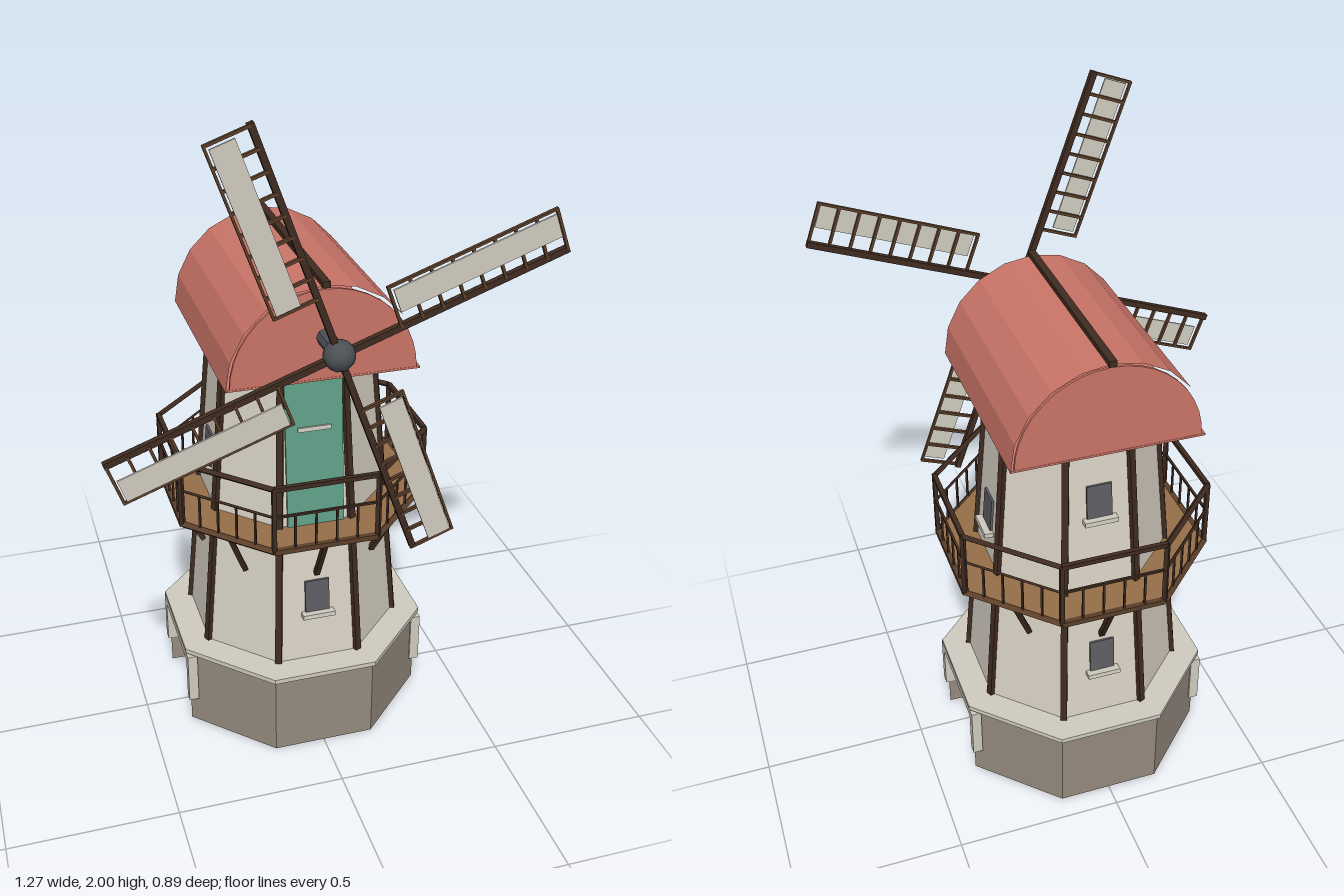
import * as THREE from 'three';

const mat = (name, color) => Object.assign(new THREE.MeshStandardMaterial({ color }), { name });

export function createModel() {
  const plaster = mat('plaster', 0xd9d2c5), stone = mat('stone', 0x958a7e), trim = mat('pale trim', 0xd0ccc0);
  const red = mat('roof red', 0xcb7568), green = mat('door green', 0x5f9f88), dark = mat('dark wood', 0x3f2b20);
  const floorWood = mat('floor wood', 0x966f48), frameWood = mat('frame wood', 0x5c3f2a);
  const slate = mat('window slate', 0x5c5c62), iron = mat('iron', 0x4d5156);

  const model = new THREE.Group();
  model.name = 'windmill';
  const body = new THREE.Group();
  body.name = 'tower';
  body.position.z = -0.057;
  model.add(body);

  const T = Math.PI / 8, COS = Math.cos(T), TAN = Math.tan(T);
  const add = (parent, name, geo, material, x = 0, y = 0, z = 0) => {
    const m = new THREE.Mesh(geo, material);
    m.name = name;
    m.position.set(x, y, z);
    parent.add(m);
    return m;
  };
  const box = (parent, name, material, w, h, d, x, y, z) =>
    add(parent, name, new THREE.BoxGeometry(w, h, d), material, x, y, z);
  // faceted eight-sided block given by its apothems
  const octagon = (name, material, top, bottom, y0, y1) => {
    const g = new THREE.CylinderGeometry(top / COS, bottom / COS, y1 - y0, 8).rotateY(T).toNonIndexed();
    g.computeVertexNormals();
    return add(body, name, g, material, 0, (y0 + y1) / 2, 0);
  };
  // square bar between two points
  const bar = (parent, name, material, p, q, w) => {
    const d = q.clone().sub(p);
    const m = box(parent, name, material, w, d.length(), w, 0, 0, 0);
    m.position.copy(p).add(q).multiplyScalar(0.5);
    m.quaternion.setFromUnitVectors(new THREE.Vector3(0, 1, 0), d.normalize());
    return m;
  };
  // point on octagon: corner k, or side centre k
  const corner = (a, k, y) => {
    const t = T + k * Math.PI / 4, r = a / COS;
    return new THREE.Vector3(Math.sin(t) * r, y, Math.cos(t) * r);
  };
  const side = (a, k, y) => new THREE.Vector3(Math.sin(k * Math.PI / 4) * a, y, Math.cos(k * Math.PI / 4) * a);

  // stone base in two halves with a passage running across
  const A = 0.373, B = A * TAN;
  for (const s of [1, -1]) {
    const half = new THREE.Shape([[A, B], [B, A], [-B, A], [-A, B]].map(([x, z]) => new THREE.Vector2(x, z)));
    const g = new THREE.ExtrudeGeometry(half, { depth: 0.23, bevelEnabled: false }).rotateX(-Math.PI / 2);
    if (s > 0) g.rotateY(Math.PI);
    add(body, 'baseHalf', g, stone);
    box(body, 'passageLining', slate, 0.7, 0.14, 0.006, 0, 0.16, s * (B - 0.003));
    // passage frame
    for (const e of [1, -1])
      box(body, 'passagePost', trim, 0.03, 0.165, 0.028, s * 0.368, 0.1725, e * (B + 0.012));
    box(body, 'passageLintel', trim, 0.03, 0.027, 0.36, s * 0.368, 0.2415, 0);
  }
  octagon('baseTop', stone, A, A, 0.23, 0.26);
  box(body, 'passageCeiling', slate, 0.7, 0.006, 2 * B - 0.002, 0, 0.227, 0);
  octagon('baseCornice', trim, 0.385, 0.385, 0.26, 0.275);

  // tapering tower and its corner posts
  const Y0 = 0.275, Y1 = 1.21, A0 = 0.303, A1 = 0.225;
  const apothem = y => A0 + (A1 - A0) * (y - Y0) / (Y1 - Y0);
  const tilt = Math.atan((A0 - A1) / (Y1 - Y0));
  octagon('towerWalls', plaster, A1, A0, Y0, Y1);
  octagon('roofCollar', red, 0.24, 0.24, 1.205, 1.238);
  for (let k = 0; k < 8; k++)
    bar(body, 'cornerPost', dark, corner(A0, k, Y0), corner(A1, k, Y1), 0.02).rotateY(T + k * Math.PI / 4);

  // a group lying on tower side k at height y, +z pointing outwards
  const onWall = (name, k, y) => {
    const turn = new THREE.Group(), lean = new THREE.Group();
    turn.name = name;
    turn.rotation.y = k * Math.PI / 4;
    lean.position.set(0, y, apothem(y));
    lean.rotation.x = -tilt;
    turn.add(lean);
    body.add(turn);
    return lean;
  };
  for (const [k, y] of [[0, 0.49], [2, 0.89], [6, 0.89], [4, 0.49], [4, 1.03]]) {
    const w = onWall('window', k, y);
    box(w, 'windowPane', slate, 0.075, 0.105, 0.008, 0, 0, 0.003);
    box(w, 'windowSill', trim, 0.1, 0.014, 0.03, 0, -0.06, 0.012);
  }
  const door = onWall('balconyDoor', 0, 0.96);
  box(door, 'doorPanel', green, 0.172, 0.46, 0.009, 0, 0, 0.004);
  box(door, 'doorBar', trim, 0.1, 0.013, 0.012, 0, 0.08, 0.008);
  box(door, 'doorLintel', trim, 0.18, 0.02, 0.02, 0, 0.237, 0.006);

  // balcony with braces and railing
  octagon('balconyFloor', floorWood, 0.378, 0.378, 0.72, 0.735);
  const R = 0.376;
  for (let k = 0; k < 8; k++) {
    const turn = k * Math.PI / 4 + Math.PI / 4;
    const rail = (name, material, y, w) =>
      bar(body, name, material, corner(R, k, y), corner(R, k + 1, y), w);
    rail('balconyEdge', frameWood, 0.728, 0.016);
    rail('topRail', dark, 0.934, 0.014);
    rail('midRail', dark, 0.843, 0.007);
    bar(body, 'railPost', dark, corner(R, k, 0.73), corner(R, k, 0.938), 0.013).rotation.y = turn;
    for (let i = 1; i < 5; i++) {
      const p = corner(R, k, 0.73).lerp(corner(R, k + 1, 0.73), i / 5);
      bar(body, 'baluster', dark, p, p.clone().setY(0.843), 0.006).rotation.y = turn;
    }
    bar(body, 'balconyBrace', dark, side(0.282, k, 0.565), side(0.365, k, 0.722), 0.016);
  }

  // barrel roof along z: shell, gables, underside and ridge
  const roof = new THREE.Group();
  roof.name = 'roof';
  roof.position.set(0, 1.236, -0.045);
  model.add(roof);
  const shell = new THREE.CylinderGeometry(0.278, 0.278, 0.66, 10, 1, true, Math.PI / 2, Math.PI)
    .rotateX(Math.PI / 2).toNonIndexed();
  shell.computeVertexNormals();
  add(roof, 'roofShell', shell, red);
  const arc = Array.from({ length: 21 }, (_, i) =>
    new THREE.Vector2(Math.cos(i * Math.PI / 20), Math.sin(i * Math.PI / 20)).multiplyScalar(0.267));
  const gable = new THREE.ExtrudeGeometry(new THREE.Shape(arc), { depth: 0.008, bevelEnabled: false });
  add(roof, 'frontGable', gable, red, 0, 0, 0.32);
  add(roof, 'backGable', gable, red, 0, 0, -0.328);
  box(roof, 'roofUnderside', red, 0.554, 0.006, 0.658, 0, 0.003, 0);
  box(roof, 'ridge', dark, 0.022, 0.018, 0.675, 0, 0.282, 0);

  // sail wheel
  const wheel = new THREE.Group();
  wheel.name = 'sailWheel';
  wheel.position.set(0, 1.365, 0.405);
  model.add(wheel);
  const axle = new THREE.CylinderGeometry(0.025, 0.025, 0.14, 8).rotateX(Math.PI / 2).toNonIndexed();
  axle.computeVertexNormals();
  add(wheel, 'axle', axle, iron, 0, 0, -0.065);
  add(wheel, 'hub', new THREE.IcosahedronGeometry(0.045, 1), iron);
  for (let k = 0; k < 4; k++) {
    const sail = new THREE.Group();
    sail.name = 'sail';
    sail.rotation.z = THREE.MathUtils.degToRad(20 + 90 * k);
    wheel.add(sail);
    box(sail, 'sailArm', dark, 0.67, 0.018, 0.018, 0.338, 0, 0);
    box(sail, 'sailOuterBar', frameWood, 0.495, 0.007, 0.01, 0.424, 0.124, 0.006);
    for (let i = 0; i < 9; i++)
      box(sail, 'sailRung', frameWood, 0.008, 0.125, 0.01, 0.18 + i * 0.061, 0.0625, 0.006);
    box(sail, 'sailCloth', trim, 0.47, 0.068, 0.006, 0.424, 0.082, 0.016);
  }
  return model;
}
